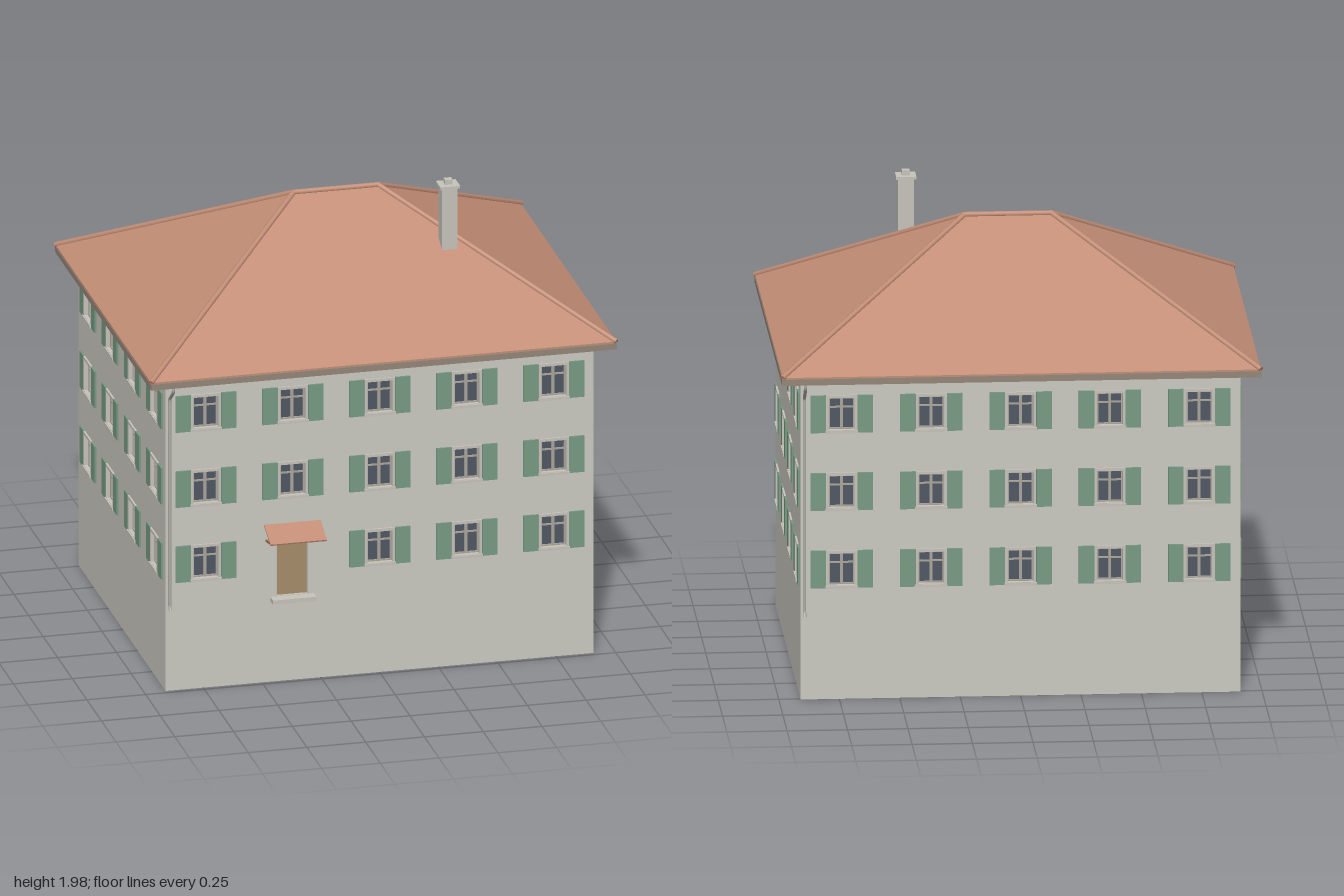
import * as THREE from 'three';

const mat = (name, color, side = THREE.FrontSide) => {
  const m = new THREE.MeshStandardMaterial({ color, side });
  m.name = name;
  return m;
};

export function createModel() {
  const plaster = mat('plaster', 0xcac8c0, THREE.DoubleSide);
  const stone = mat('stone trim', 0xc6c3ba);
  const tile = mat('roof tile', 0xc28d75);
  const ridgeTile = mat('ridge tile', 0xa8755f);
  const green = mat('shutter green', 0x769a82);
  const glass = mat('window glass', 0x4f5763, THREE.DoubleSide);
  const sash = mat('window sash', 0xaaa59b);
  const wood = mat('door wood', 0xa68b69);
  const metal = mat('gutter metal', 0x948678);
  const zinc = mat('downpipe zinc', 0xb2b0a9);

  const house = new THREE.Group();
  house.name = 'house';

  const add = (parent, name, geometry, material, x = 0, y = 0, z = 0) => {
    const mesh = new THREE.Mesh(geometry, material);
    mesh.name = name;
    mesh.position.set(x, y, z);
    parent.add(mesh);
    return mesh;
  };
  const box = (parent, name, material, w, h, d, x, y, z) =>
    add(parent, name, new THREE.BoxGeometry(w, h, d), material, x, y, z);

  const rect = (T, w, h, x = 0, y = 0) => {
    const p = new T();
    p.moveTo(x - w / 2, y - h / 2);
    p.lineTo(x + w / 2, y - h / 2);
    p.lineTo(x + w / 2, y + h / 2);
    p.lineTo(x - w / 2, y + h / 2);
    p.closePath();
    return p;
  };
  const ring = (w, h, iw, ih, depth) => {
    const s = rect(THREE.Shape, w, h);
    s.holes.push(rect(THREE.Path, iw, ih));
    return new THREE.ExtrudeGeometry(s, { depth, bevelEnabled: false });
  };

  // Main dimensions
  const wallTop = 1.385, halfX = 0.91, halfZ = 0.745, midZ = -0.015;
  const rows = [0.556, 0.888, 1.22];
  const winW = 0.128, winH = 0.16;
  const doorX = -0.372, doorY = 0.505, doorW = 0.135, doorH = 0.262;

  // Window: surround lining the opening, recessed glass, sash bars, shutters
  const surroundGeo = ring(winW, winH, 0.106, 0.136, 0.034);
  const sashGeo = ring(0.106, 0.136, 0.094, 0.124, 0.008);
  const glassGeo = new THREE.PlaneGeometry(0.106, 0.136);
  function addWindow(wall, x, y) {
    const w = new THREE.Group();
    w.name = 'window';
    w.position.set(x, y, 0);
    wall.add(w);
    add(w, 'windowSurround', surroundGeo, stone, 0, 0, -0.026);
    add(w, 'windowGlass', glassGeo, glass, 0, 0, -0.018);
    add(w, 'windowSash', sashGeo, sash, 0, 0, -0.017);
    box(w, 'mullion', sash, 0.012, 0.124, 0.008, 0, 0, -0.013);
    box(w, 'transom', sash, 0.094, 0.007, 0.006, 0, 0.026, -0.014);
    box(w, 'windowSill', stone, 0.134, 0.012, 0.014, 0, -0.076, 0.006);
    for (const s of [-1, 1])
      box(w, 'shutter', green, 0.064, 0.16, 0.008, s * 0.097, 0, 0.004);
  }

  // Wall panel with real openings
  function addWall(name, width, columns, hasDoor) {
    const wall = new THREE.Group();
    wall.name = name;
    house.add(wall);
    const shape = rect(THREE.Shape, width, wallTop, 0, wallTop / 2);
    rows.forEach((y, r) => columns.forEach((x, c) => {
      if (hasDoor && r === 0 && c === 1) {
        shape.holes.push(rect(THREE.Path, doorW, doorH, doorX, doorY));
        return;
      }
      shape.holes.push(rect(THREE.Path, winW - 0.01, winH - 0.01, x, y));
      addWindow(wall, x, y);
    }));
    add(wall, name + 'Panel', new THREE.ShapeGeometry(shape), plaster);
    return wall;
  }

  const wide = [-2, -1, 0, 1, 2].map(i => i * 0.37);
  const narrow = [-1.5, -0.5, 0.5, 1.5].map(i => i * 0.381);
  const front = addWall('frontWall', halfX * 2, wide, true);
  front.position.z = midZ + halfZ;
  const back = addWall('backWall', halfX * 2, wide, false);
  back.position.z = midZ - halfZ;
  back.rotation.y = Math.PI;
  for (const [name, s] of [['leftWall', 1], ['rightWall', -1]]) {
    const side = addWall(name, halfZ * 2, narrow, false);
    side.position.set(s * halfX, 0, midZ);
    side.rotation.y = s * Math.PI / 2;
  }

  // Entrance: recessed door, doorstep, sloping canopy on two brackets
  add(front, 'doorReveal', ring(doorW + 0.006, doorH + 0.006, doorW - 0.006, doorH - 0.006, 0.028),
    stone, doorX, doorY, -0.027);
  box(front, 'door', wood, doorW - 0.006, doorH - 0.006, 0.01, doorX, doorY, -0.017);
  box(front, 'doorstep', stone, 0.185, 0.018, 0.05, doorX, 0.366, 0.02);
  const canopy = box(front, 'canopyRoof', tile, 0.24, 0.007, 0.122, doorX, 0.671, 0.058);
  canopy.rotation.x = Math.atan2(0.045, 0.11);
  for (const s of [-1, 1]) {
    const bracket = box(front, 'canopyBracket', ridgeTile, 0.007, 0.009, 0.108, doorX + s * 0.11, 0.636, 0.053);
    bracket.rotation.x = -0.19;
  }

  // Hipped roof
  const ex = 0.99, zf = 0.803, zb = -0.836, eave = 1.397, under = 1.384;
  const ridgeY = 1.86, ridgeX = 0.18;
  const corners = [[-ex, zf], [ex, zf], [ex, zb], [-ex, zb]];
  const points = [
    ...corners.map(([x, z]) => [x, eave, z]),
    ...corners.map(([x, z]) => [x, under, z]),
    [-ridgeX, ridgeY, -0.017], [ridgeX, ridgeY, -0.017],
  ];
  const faces = [0, 1, 9, 0, 9, 8, 1, 2, 9, 2, 3, 8, 2, 8, 9, 3, 0, 8, 7, 6, 5, 7, 5, 4];
  for (let i = 0; i < 4; i++) {
    const j = (i + 1) % 4;
    faces.push(4 + i, 4 + j, j, 4 + i, j, i);
  }
  const indexed = new THREE.BufferGeometry();
  indexed.setAttribute('position', new THREE.Float32BufferAttribute(points.flat(), 3));
  indexed.setIndex(faces);
  const roofGeo = indexed.toNonIndexed();
  roofGeo.computeVertexNormals();
  add(house, 'roof', roofGeo, tile);

  // Rod between two points
  const rod = (name, material, a, b, r, sides) => {
    const A = new THREE.Vector3(...a), B = new THREE.Vector3(...b);
    const dir = B.clone().sub(A);
    const mesh = add(house, name, new THREE.CylinderGeometry(r, r, dir.length(), sides), material);
    mesh.position.copy(A).add(B).multiplyScalar(0.5);
    mesh.quaternion.setFromUnitVectors(new THREE.Vector3(0, 1, 0), dir.normalize());
  };

  // Ridge and hip caps
  for (const [a, b] of [[8, 9], [0, 8], [3, 8], [1, 9], [2, 9]])
    rod('ridgeCap', tile, points[a], points[b], 0.012, 8);

  // Gutters around the eaves
  for (const z of [zf - 0.004, zb + 0.004])
    box(house, 'gutter', metal, 1.98, 0.026, 0.022, 0, 1.378, z);
  for (const s of [-1, 1])
    box(house, 'gutter', metal, 0.022, 0.026, zf - zb - 0.01, s * 0.981, 1.378, (zf + zb) / 2);

  // Downpipes at two opposite corners
  for (const [x, eaveZ, wallZ, out] of [[-0.895, 0.803, 0.741, 1], [0.895, -0.836, -0.772, -1]]) {
    const path = new THREE.CurvePath();
    const pts = [
      [1.37, eaveZ], [1.345, eaveZ], [1.295, wallZ], [0.38, wallZ], [0.36, wallZ + out * 0.014],
    ].map(([y, z]) => new THREE.Vector3(x, y, z));
    for (let i = 0; i < pts.length - 1; i++) path.add(new THREE.LineCurve3(pts[i], pts[i + 1]));
    add(house, 'downpipe', new THREE.TubeGeometry(path, 80, 0.007, 8), zinc);
  }

  // Chimney with cap and pot
  const cx = 0.403, cz = 0.28;
  box(house, 'chimneyStack', stone, 0.066, 0.31, 0.062, cx, 1.79, cz);
  box(house, 'chimneyCap', stone, 0.084, 0.012, 0.08, cx, 1.95, cz);
  box(house, 'chimneyPot', stone, 0.032, 0.022, 0.03, cx, 1.966, cz);

  return house;
}
